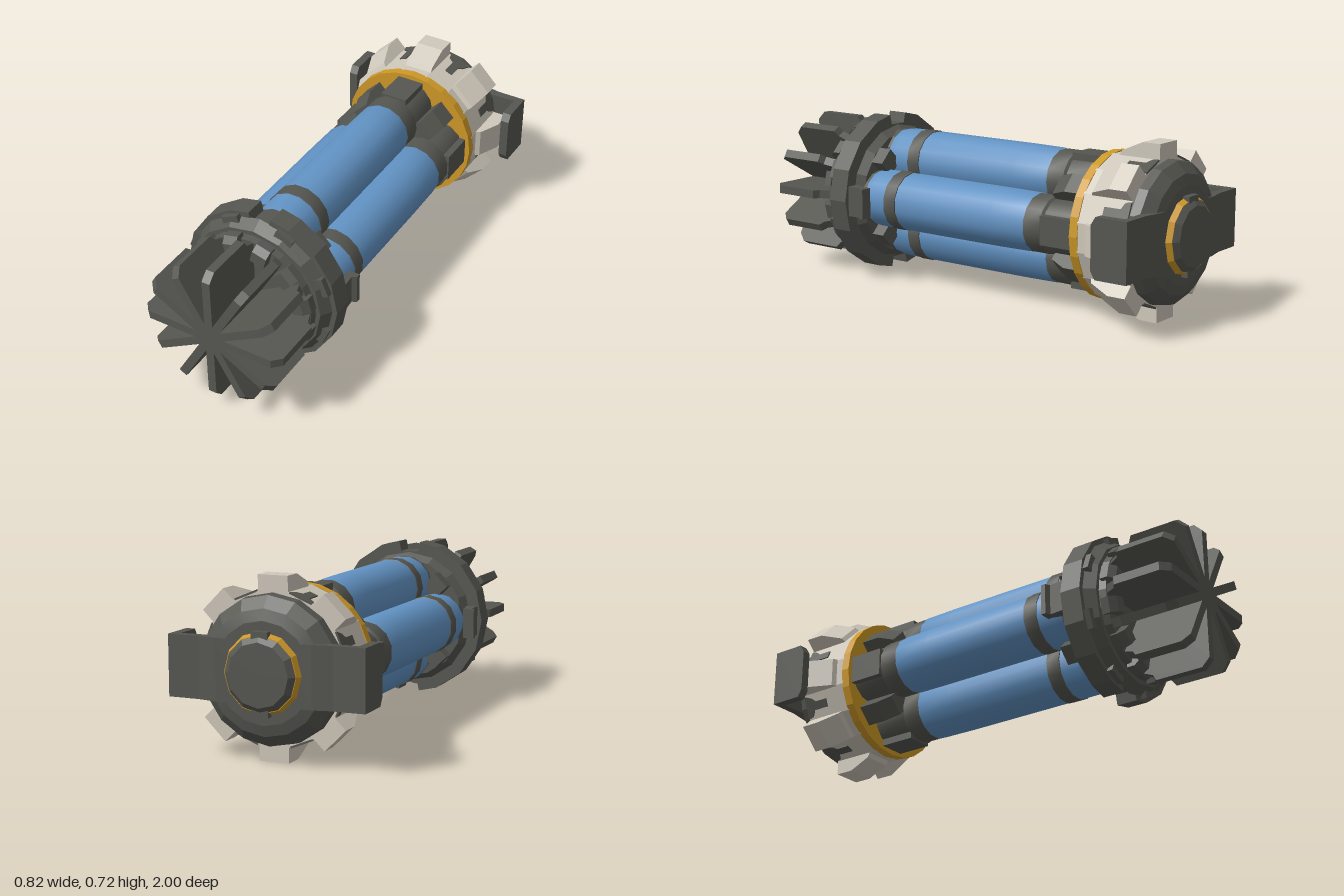
import * as THREE from 'three';
import { toCreasedNormals } from 'three/addons/utils/BufferGeometryUtils.js';

const mat = (name, color) => Object.assign(new THREE.MeshStandardMaterial({ color }), { name });

export function createModel() {
  const dark = mat('dark metal', 0x565651);
  const blue = mat('blue shell', 0x6293c4);
  const white = mat('off-white casing', 0xcfc8bb);
  const yellow = mat('yellow trim', 0xcd9827);

  const model = new THREE.Group();
  const body = new THREE.Group(); // everything is centred on the long z axis
  body.name = 'body';
  body.position.y = 0.36;
  model.add(body);

  const add = (name, geo, material, angle = 0, parent = body) => {
    const mesh = new THREE.Mesh(geo, material);
    mesh.name = name;
    mesh.rotation.z = angle;
    parent.add(mesh);
    return mesh;
  };

  // Turned part about z; profile is [radius, z] with z rising
  const turned = (profile, sides, phase = 0, crease = 0.2) => {
    const geo = new THREE.LatheGeometry(profile.map(([r, z]) => new THREE.Vector2(r, z)), sides, phase);
    return toCreasedNormals(geo.rotateX(Math.PI / 2), crease);
  };
  const disc = (r0, z0, r1, z1, sides, phase) => turned([[0, z0], [r0, z0], [r1, z1], [0, z1]], sides, phase);

  const shapeOf = pts => new THREE.Shape(pts.map(([x, y]) => new THREE.Vector2(x, y)));
  // Plate lying in the radius-z plane, pointing along +x
  const plate = (pts, width) => new THREE.ExtrudeGeometry(shapeOf(pts), { depth: width, bevelEnabled: false })
    .translate(0, 0, -width / 2).rotateX(Math.PI / 2);
  const block = (r0, r1, z0, z1, width) => plate([[r0, z0], [r1, z0], [r1, z1], [r0, z1]], width);
  const around = (n, offset, name, geo, material) => {
    for (let i = 0; i < n; i++) add(name, geo, material, offset + i * 2 * Math.PI / n);
  };

  // Front star of twelve fins
  around(12, 0, 'frontFin', plate([[0, 0.70], [0.27, 0.70], [0.29, 0.745], [0.315, 0.76],
    [0.315, 0.965], [0.28, 1], [0, 1]], 0.036), dark);
  add('finBase', disc(0.285, 0.64, 0.275, 0.70, 24), dark);
  around(12, Math.PI / 12, 'frontBlock', plate([[0.2, 0.68], [0.29, 0.68], [0.29, 0.715],
    [0.265, 0.74], [0.215, 0.74]], 0.065), dark);

  // Sixteen-sided collar, notched at top and bottom
  const half = [];
  for (let i = -3; i <= 3; i++) {
    const a = i * Math.PI / 8;
    half.push([0.35 * Math.cos(a), 0.35 * Math.sin(a)]);
  }
  const rightHalf = [[0.04, -0.3], [0.05, -0.343], ...half, [0.05, 0.343], [0.04, 0.3]];
  const outline = [...rightHalf, ...rightHalf.map(([x, y]) => [-x, -y])];
  add('frontCollar', new THREE.ExtrudeGeometry(shapeOf(outline), { depth: 0.09, bevelEnabled: false })
    .translate(0, 0, 0.535), dark);
  add('collarStep', disc(0.33, 0.622, 0.30, 0.67, 16), dark);
  add('collarBack', disc(0.27, 0.5, 0.30, 0.54, 16), dark);
  around(2, 0, 'sideClaw', plate([[0.27, 0.55], [0.295, 0.46], [0.295, 0.44], [0.345, 0.44],
    [0.345, 0.46], [0.325, 0.47], [0.33, 0.55]], 0.13), dark);
  around(8, Math.PI / 8, 'collarLug', block(0.3, 0.335, 0.60, 0.65, 0.08), dark);
  around(4, Math.PI / 4, 'innerProng', block(0.18, 0.265, 0.44, 0.55, 0.08), dark);

  // Four overlapping tubes with dark bands and ends
  const shell = turned([[0.119, -0.375], [0.124, -0.355], [0.126, -0.2], [0.126, 0.45],
    [0.121, 0.485]], 14, 0, 0.7);
  const band = turned([[0.124, 0.31], [0.129, 0.312], [0.129, 0.373], [0.124, 0.375]], 14, 0, 0.7);
  const frontEnd = disc(0.12, 0.47, 0.12, 0.55, 14);
  const rearEnd = turned([[0, -0.62], [0.113, -0.62], [0.113, -0.455], [0.122, -0.445],
    [0.122, -0.365], [0, -0.365]], 14, 0, 0.7);
  for (let i = 0; i < 4; i++) {
    const tube = new THREE.Group();
    tube.name = 'tube';
    tube.rotation.z = i * Math.PI / 2;
    body.add(tube);
    [['tubeShell', shell, blue], ['tubeBand', band, dark], ['tubeFrontEnd', frontEnd, dark],
      ['tubeRearEnd', rearEnd, dark]].forEach(([name, geo, m]) => {
      add(name, geo, m, 0, tube).position.x = 0.16;
    });
    add('tubeRidge', block(0.2, 0.283, -0.61, -0.45, 0.12), dark, 0, tube);
  }
  add('core', disc(0.14, -0.62, 0.14, 0.55, 12), dark);
  around(4, Math.PI / 4, 'rearStrut', plate([[0.12, -0.61], [0.265, -0.61], [0.265, -0.52],
    [0.235, -0.45], [0.12, -0.45]], 0.09), dark);

  // Rear casing: trim ring, white drum, eight ribs and dark slots
  add('trimRing', disc(0.306, -0.645, 0.306, -0.607, 24), yellow);
  add('casing', disc(0.305, -0.865, 0.305, -0.64, 16, Math.PI / 16), white);
  around(8, 0, 'casingRib', plate([[0.28, -0.865], [0.36, -0.865], [0.36, -0.785],
    [0.318, -0.69], [0.28, -0.67]], 0.125), white);
  const slot = shapeOf([[-0.05, -0.866], [0.05, -0.866], [0.045, -0.84], [0.018, -0.825],
    [0.018, -0.75], [-0.018, -0.75], [-0.018, -0.81], [-0.036, -0.83]]);
  const slotGeo = new THREE.ExtrudeGeometry(slot, { depth: 0.008, bevelEnabled: false })
    .rotateX(Math.PI / 2).rotateZ(Math.PI / 2).translate(0.304, 0, 0);
  // Recentre the plate so that it lies just over its facet
  slotGeo.computeBoundingBox();
  slotGeo.translate(0.3045 - slotGeo.boundingBox.max.x, 0, 0);
  around(8, Math.PI / 8, 'casingSlot', slotGeo, dark);

  // Rear cap with knob and yellow surround
  add('rearCap', turned([[0, -0.957], [0.2, -0.957], [0.245, -0.945], [0.29, -0.905],
    [0.295, -0.86], [0, -0.86]], 16), dark);
  add('knobSurround', disc(0.15, -0.98, 0.165, -0.95, 12), yellow);
  around(2, Math.PI / 2, 'surroundTab', block(0.1, 0.162, -0.985, -0.955, 0.07), dark);
  add('knob', turned([[0, -1], [0.125, -1], [0.15, -0.978], [0.15, -0.96], [0, -0.96]], 12), dark);

  // Cross bar with two hooked arms
  around(2, 0, 'crossBar', plate([[0.1, -0.957], [0.2, -0.957], [0.28, -0.942], [0.41, -0.942],
    [0.41, -0.91], [0.1, -0.9]], 0.245), dark);
  const arm = shapeOf([[-0.1225, -0.93], [0.1225, -0.93], [0.1225, -0.8], [0.09, -0.78],
    [-0.09, -0.78], [-0.1225, -0.8]]);
  const armGeo = new THREE.ExtrudeGeometry(arm, { depth: 0.038, bevelEnabled: false })
    .rotateX(Math.PI / 2).rotateZ(Math.PI / 2).translate(0.372, 0, 0);
  armGeo.computeBoundingBox();
  armGeo.translate(0.41 - armGeo.boundingBox.max.x, 0, 0);
  around(2, 0, 'hookArm', armGeo, dark);

  return model;
}
